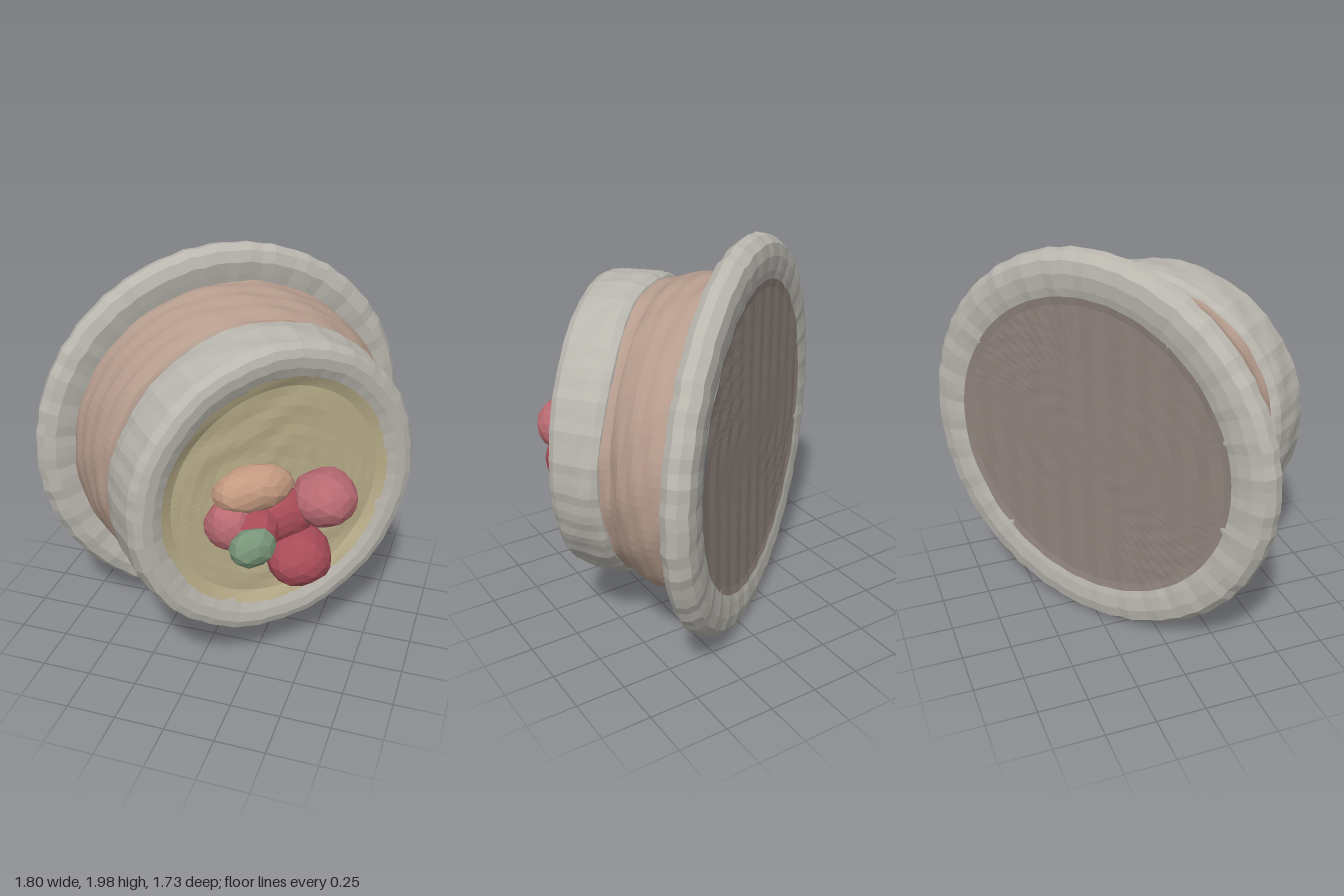
import * as THREE from 'three';

const CREAM = 0xb9b6ae, SPONGE = 0xb59c8d, CUSTARD = 0xbaae8a, BACK = 0x8f837c;
const RED = 0xa84c58, PINK = 0xb86a72, PEACH = 0xc49a80, GREEN = 0x7a967a;

const mat = (color) => new THREE.MeshStandardMaterial({ color, flatShading: true });

// Splits each profile segment so that the ripples have vertices to move.
function refine(points, n) {
  const out = [];
  for (let i = 0; i < points.length - 1; i++) {
    const a = new THREE.Vector2(...points[i]), b = new THREE.Vector2(...points[i + 1]);
    for (let k = 0; k < n; k++) out.push(a.clone().lerp(b, k / n));
  }
  out.push(new THREE.Vector2(...points[points.length - 1]));
  return out;
}

// Maps (sideways, along axis, downwards) to the sideways-lying, slightly bent cake.
function place(u, d, w) {
  const yaw = THREE.MathUtils.degToRad(37.5 + 6 * Math.min(1, (d / 0.78) ** 2));
  return new THREE.Vector3(
    -0.11 + 0.617 * d + u * Math.cos(yaw),
    1.008 - w,
    -0.24 + 0.784 * d - u * Math.sin(yaw)
  );
}

// Turned part with hand-made ripples; profile points are [radius, distance along axis].
function turned(name, color, profile, split, ripple) {
  const geo = new THREE.LatheGeometry(refine(profile, split), 96);
  const p = geo.attributes.position;
  for (let i = 0; i < p.count; i++) {
    const x = p.getX(i), d = p.getY(i), z = p.getZ(i);
    const r = Math.hypot(x, z), t = Math.atan2(x, z);
    const [dr, dd] = ripple(t, d, r);
    const s = r > 0.01 ? 1 + dr / r : 1;
    const v = place(x * s, d + dd, z * s);
    p.setXYZ(i, v.x, v.y, v.z);
  }
  geo.computeVertexNormals();
  const mesh = new THREE.Mesh(geo, mat(color));
  mesh.name = name;
  return mesh;
}

// Lumpy fruit piece at a world position.
function lump(name, color, pos, size, detail = 2) {
  const geo = new THREE.IcosahedronGeometry(1, detail);
  const p = geo.attributes.position, v = new THREE.Vector3();
  for (let i = 0; i < p.count; i++) {
    v.fromBufferAttribute(p, i);
    v.multiplyScalar(1 + 0.05 * Math.sin(5 * v.x + 3 * v.y) * Math.cos(4 * v.z + pos[0] * 9));
    p.setXYZ(i, v.x, v.y, v.z);
  }
  geo.computeVertexNormals();
  const mesh = new THREE.Mesh(geo, mat(color));
  mesh.name = name;
  mesh.position.set(...pos);
  mesh.scale.set(...size);
  mesh.rotation.y = 0.75;
  return mesh;
}

export function createModel() {
  const group = new THREE.Group();
  group.name = 'cake';

  // Plate: almost flat, faintly ridged underside and a rolled rim
  group.add(turned('plateUnderside', BACK,
    [[0, -0.045], [0.4, -0.045], [0.74, -0.048], [0.78, -0.055]], 5,
    (t, d, r) => [0, 0.003 * Math.sin(r * Math.sin(t) * 40) * Math.min(1, r * 4)]));
  group.add(turned('plateRim', CREAM,
    [[0.76, -0.046], [0.82, -0.06], [0.89, -0.066], [0.95, -0.055], [0.985, -0.015],
      [0.992, 0.03], [0.965, 0.068], [0.91, 0.085], [0.85, 0.075], [0.78, 0.06]], 2,
    (t) => [0.004 * Math.sin(40 * t), 0.003 * Math.sin(31 * t + 1)]));

  // Sponge side, fuller on one side, with a groove under the cream
  group.add(turned('sponge', SPONGE,
    [[0.81, 0.05], [0.81, 0.1], [0.8, 0.18], [0.785, 0.27], [0.765, 0.36],
      [0.738, 0.42], [0.735, 0.5]], 3,
    (t, d) => [0.003 * Math.sin(d * 60 + 4 * Math.sin(2 * t)) + 0.003 * Math.sin(17 * t + d * 20)
      + 0.04 * Math.max(0, Math.sin(t)) ** 2 * Math.max(0, Math.sin(Math.PI * d / 0.42)), 0]));

  // Cream band with a broad rounded lip sloping in to the custard
  group.add(turned('creamBand', CREAM,
    [[0.71, 0.46], [0.745, 0.475], [0.762, 0.51], [0.765, 0.58], [0.757, 0.67], [0.75, 0.74],
      [0.728, 0.778], [0.69, 0.79], [0.64, 0.785], [0.59, 0.765], [0.55, 0.735]], 2,
    (t, d) => [0.003 * Math.sin(34 * t) + 0.003 * Math.sin(11 * t + d * 30),
      d < 0.56 ? 0.01 * Math.sin(5 * t) : 0]));

  // Custard face, slightly sunk
  group.add(turned('custardTop', CUSTARD,
    [[0.595, 0.768], [0.54, 0.745], [0.3, 0.74], [0, 0.735]], 5,
    (t, d, r) => [0, 0.003 * Math.sin(r * 35 + 2 * Math.sin(4 * t)) * Math.min(1, r * 4)]));

  // Fruit topping
  const fruit = new THREE.Group();
  fruit.name = 'fruitTopping';
  fruit.add(
    lump('upperBerry', PINK, [0.58, 1.025, 0.345], [0.155, 0.135, 0.155]),
    lump('lowerBerry', RED, [0.49, 0.76, 0.46], [0.16, 0.14, 0.16]),
    lump('fruitCore', RED, [0.4, 0.95, 0.45], [0.17, 0.13, 0.1]),
    lump('sideBerry', PINK, [0.2, 0.96, 0.61], [0.115, 0.125, 0.115]),
    lump('peachSlice', PEACH, [0.28, 1.11, 0.52], [0.2, 0.115, 0.11]),
    lump('redSlice', RED, [0.32, 0.95, 0.6], [0.11, 0.1, 0.11], 1),
    lump('leaf', GREEN, [0.34, 0.925, 0.71], [0.115, 0.095, 0.075], 1)
  );
  group.add(fruit);
  return group;
}
